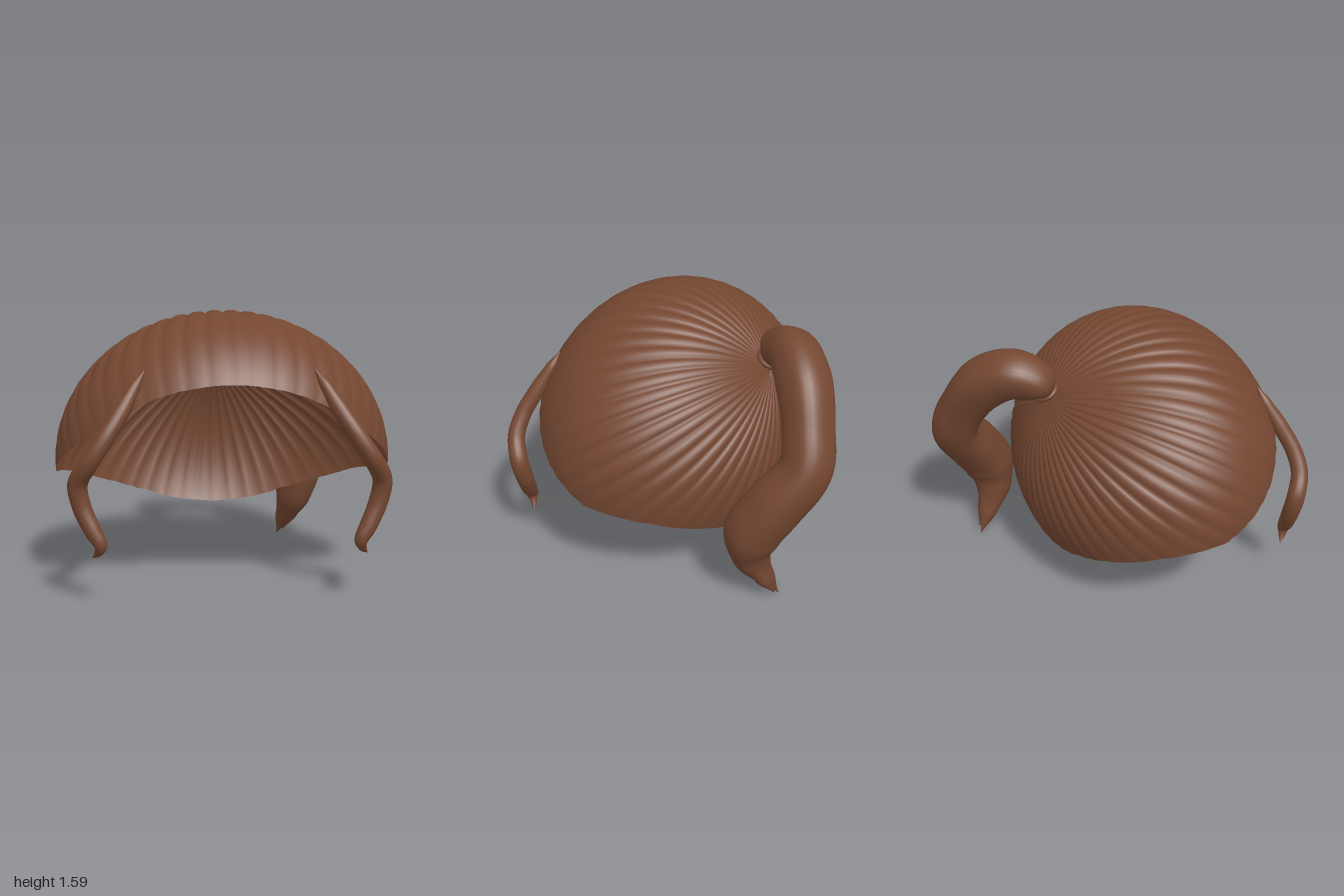
import * as THREE from 'three';
import { mergeVertices } from 'three/addons/utils/BufferGeometryUtils.js';

const hair = new THREE.MeshStandardMaterial({ color: 0x744731, side: THREE.DoubleSide });

// Height of the hairline for a given depth: [z, y], back to front
const HAIRLINE = [[-0.47, 0.29], [-0.4, 0.4], [-0.3, 0.48], [-0.1, 0.58], [0.1, 0.625], [0.3, 0.65],
  [0.5, 0.755], [0.65, 0.85], [0.8, 0.98], [0.92, 1.2], [0.95, 1.27]];

function hairlineY(z) {
  if (z <= HAIRLINE[0][0]) return HAIRLINE[0][1];
  for (let i = 1; i < HAIRLINE.length; i++) {
    const [z0, y0] = HAIRLINE[i - 1], [z1, y1] = HAIRLINE[i];
    if (z <= z1) return THREE.MathUtils.lerp(y0, y1, (z - z0) / (z1 - z0));
  }
  return HAIRLINE[HAIRLINE.length - 1][1];
}

// Point of the skull ellipsoid; theta is measured from the knot at the back of the crown
const POLE = new THREE.Vector3(0, 0.59, -0.807).normalize();
const SIDE = new THREE.Vector3(1, 0, 0);
const DOWN = new THREE.Vector3().crossVectors(POLE, SIDE);
function skullPoint(theta, phi, scale = 1) {
  const p = POLE.clone().multiplyScalar(Math.cos(theta))
    .addScaledVector(SIDE, Math.sin(theta) * Math.cos(phi))
    .addScaledVector(DOWN, Math.sin(theta) * Math.sin(phi)).multiplyScalar(scale);
  return p.set(p.x * 0.995, 0.72 + p.y * 0.88, 0.27 + p.z * (p.z > 0 ? 0.79 : 0.83));
}

function rimAngle(phi) {
  let theta = 0.3;
  for (; theta < 2.8; theta += 0.004) {
    const p = skullPoint(theta, phi);
    if (p.y < hairlineY(p.z)) break;
  }
  return theta;
}

// Ribbed shell: combed strands run from the knot to the hairline
function capGeometry(ribs = 48, perRib = 6, rows = 44) {
  const cols = ribs * perRib, pos = [], index = [];
  for (let j = 0; j < cols; j++) {
    const phi = (j / cols) * Math.PI * 2, rim = rimAngle(phi);
    const groove = Math.pow(1 - Math.abs(Math.sin(phi * ribs / 2)), 1.5);
    for (let i = 0; i <= rows; i++) {
      const v = i / rows, theta = 0.01 + v * (rim - 0.01);
      const fade = Math.sin(theta) * (1 - 0.85 * THREE.MathUtils.smoothstep(v, 0.4, 1));
      pos.push(...skullPoint(theta, phi, 1.004 - 0.026 * groove * fade).toArray());
    }
  }
  const at = (j, i) => (j % cols) * (rows + 1) + i;
  for (let j = 0; j < cols; j++) {
    for (let i = 0; i < rows; i++) {
      const a = at(j, i), b = at(j, i + 1), c = at(j + 1, i + 1), d = at(j + 1, i);
      index.push(a, b, d, b, c, d);
    }
  }
  const g = new THREE.BufferGeometry();
  g.setAttribute('position', new THREE.Float32BufferAttribute(pos, 3));
  g.setIndex(index);
  g.computeVertexNormals();
  return g;
}

// Tapered strand through [x, y, z, radius] points, with optional lengthwise lobes
function strandGeometry(points, segs, sides, lobes = 0) {
  const path = new THREE.CatmullRomCurve3(points.map(p => new THREE.Vector3(p[0], p[1], p[2])));
  const radii = points.map(p => p[3]);
  let g = new THREE.TubeGeometry(path, segs, 1, sides);
  const pos = g.attributes.position, v = new THREE.Vector3();
  for (let i = 0; i <= segs; i++) {
    const u = i / segs, c = path.getPointAt(u);
    const t = path.getUtoTmapping(u) * (radii.length - 1);
    const k = Math.min(Math.floor(t), radii.length - 2);
    const r = THREE.MathUtils.lerp(radii[k], radii[k + 1], THREE.MathUtils.smoothstep(t - k, 0, 1) * 0.5 + (t - k) * 0.5);
    for (let j = 0; j <= sides; j++) {
      const n = i * (sides + 1) + j;
      const lobe = 1 + lobes * Math.cos((j / sides) * Math.PI * 8);
      v.fromBufferAttribute(pos, n).sub(c).multiplyScalar(r * lobe).add(c);
      pos.setXYZ(n, v.x, v.y, v.z);
    }
  }
  g.deleteAttribute('uv');
  g.deleteAttribute('normal');
  g = mergeVertices(g, 1e-5);
  g.computeVertexNormals();
  return g;
}

export function createModel() {
  const model = new THREE.Group();
  const add = (name, geometry) => {
    const mesh = new THREE.Mesh(geometry, hair);
    mesh.name = name;
    model.add(mesh);
    return mesh;
  };

  add('hairCap', capGeometry());

  // Ponytail: rises from the knot, swings back and to the left, then falls to a point
  add('ponytail', strandGeometry([
    [0, 1.27, -0.37, 0.04], [0, 1.32, -0.4, 0.07], [0, 1.385, -0.45, 0.125], [0.07, 1.43, -0.57, 0.145],
    [0.2, 1.34, -0.7, 0.155], [0.34, 1.13, -0.8, 0.145], [0.44, 0.93, -0.835, 0.15],
    [0.54, 0.7, -0.7, 0.165], [0.59, 0.5, -0.59, 0.165], [0.57, 0.32, -0.575, 0.12],
    [0.52, 0.15, -0.645, 0.065], [0.475, 0.01, -0.72, 0.004]], 110, 32, 0.035));
  add('ponytailSideTip', strandGeometry([
    [0.59, 0.32, -0.59, 0.08], [0.57, 0.17, -0.65, 0.045], [0.52, 0.04, -0.715, 0.004]], 20, 12));

  // Tie around the base of the ponytail
  const tie = add('ponytailTie', new THREE.TorusGeometry(0.065, 0.018, 10, 32));
  tie.position.set(0, 1.31, -0.395);
  tie.quaternion.setFromUnitVectors(new THREE.Vector3(0, 0, 1), new THREE.Vector3(0, 0.85, -0.52).normalize());

  // Wavy locks framing the face, mirrored
  for (const [name, s] of [['leftLock', 1], ['rightLock', -1]]) {
    add(name, strandGeometry([
      [0.47, 1.28, 0.775, 0.006], [0.525, 1.19, 0.81, 0.035], [0.6, 1.06, 0.87, 0.048], [0.69, 0.92, 0.925, 0.05],
      [0.77, 0.8, 0.93, 0.052], [0.835, 0.68, 0.875, 0.055], [0.815, 0.55, 0.865, 0.053],
      [0.755, 0.42, 0.89, 0.048], [0.715, 0.345, 0.905, 0.038], [0.73, 0.3, 0.89, 0.022],
      [0.76, 0.268, 0.86, 0.004]].map(([x, y, z, r]) => [x * s, y, z, r]), 70, 18));
  }
  return model;
}
